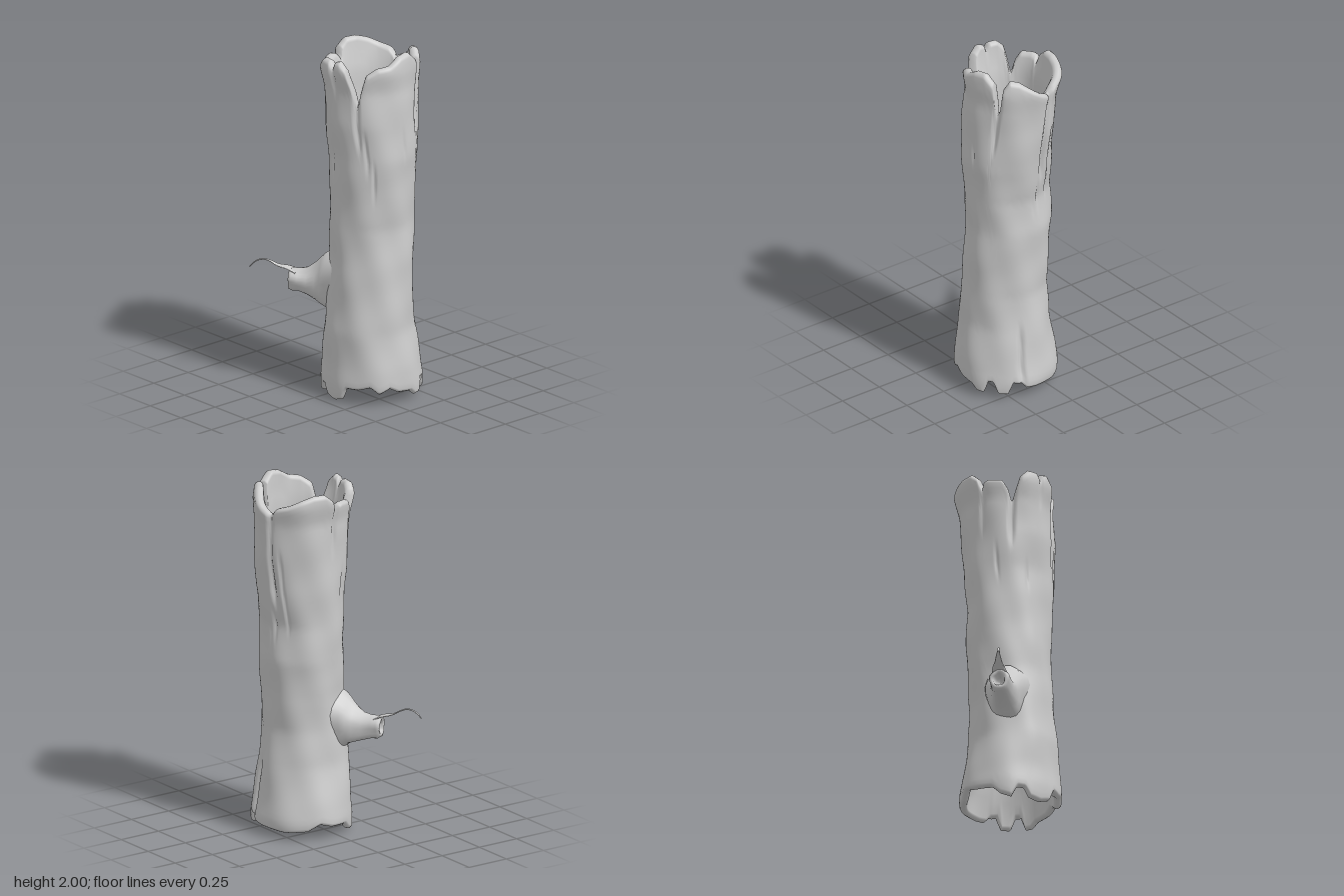
import * as THREE from 'three';

// Linear lookup in a list of [key, value...] rows
function lookup(rows, k, col = 1) {
  if (k <= rows[0][0]) return rows[0][col];
  for (let i = 1; i < rows.length; i++) {
    const a = rows[i - 1], b = rows[i];
    if (k <= b[0]) return a[col] + (b[col] - a[col]) * (k - a[0]) / (b[0] - a[0]);
  }
  return rows[rows.length - 1][col];
}

// Skin of nu columns (always wrapped) by nv rows (wrapped if closed)
function skin(nu, nv, point, closed) {
  const pos = [], index = [];
  for (let j = 0; j < nv; j++) for (let i = 0; i < nu; i++) pos.push(...point(i, j));
  for (let j = 0; j < (closed ? nv : nv - 1); j++) {
    for (let i = 0; i < nu; i++) {
      const i2 = (i + 1) % nu, j2 = (j + 1) % nv;
      const a = j * nu + i, b = j2 * nu + i, c = j2 * nu + i2, d = j * nu + i2;
      index.push(a, b, c, a, c, d);
    }
  }
  const g = new THREE.BufferGeometry();
  g.setAttribute('position', new THREE.Float32BufferAttribute(pos, 3));
  g.setIndex(index);
  g.computeVertexNormals();
  return g;
}

// Trunk extents by height: y, min x, max x, min z, max z
const extents = [
  [0, -0.2, 0.33, -0.165, 0.4], [0.1, -0.205, 0.335, -0.17, 0.405],
  [0.2, -0.2, 0.32, -0.155, 0.395], [0.4, -0.2, 0.295, -0.12, 0.365],
  [0.6, -0.18, 0.275, -0.11, 0.36], [0.8, -0.165, 0.285, -0.11, 0.355],
  [1, -0.16, 0.295, -0.125, 0.345], [1.2, -0.16, 0.28, -0.125, 0.36],
  [1.4, -0.165, 0.31, -0.13, 0.37], [1.6, -0.185, 0.33, -0.135, 0.36],
  [1.8, -0.19, 0.345, -0.14, 0.345], [1.9, -0.21, 0.36, -0.165, 0.355],
  [2, -0.205, 0.35, -0.165, 0.345],
];
// Wall thickness by height
const wall = [[0, 0.04], [0.1, 0.045], [0.4, 0.065], [0.9, 0.075], [1.3, 0.07], [1.7, 0.06], [2, 0.05]];
// Broken rims by angle in degrees, from +x towards +z
const topRim = [
  [0, 1.89], [15, 1.93], [30, 1.97], [42, 1.98], [50, 1.93], [55, 1.77], [58, 1.77], [62, 1.95],
  [75, 2], [90, 1.99], [105, 1.95], [120, 1.94], [135, 1.9], [145, 1.78], [149, 1.71], [153, 1.8],
  [160, 1.93], [170, 1.97], [178, 1.96], [182, 1.92], [188, 1.96], [200, 1.96], [210, 1.92],
  [217, 1.83], [221, 1.78], [226, 1.85], [233, 1.9], [250, 1.91], [257, 1.9], [260, 1.87],
  [264, 1.93], [275, 1.97], [290, 1.97], [305, 1.95], [320, 1.92], [335, 1.9], [345, 1.86], [360, 1.89],
];
const bottomRim = [
  [0, 0.05], [12, 0.06], [18, 0.09], [28, 0.1], [34, 0.03], [45, 0.03], [51, 0.1], [58, 0.1],
  [64, 0.03], [72, 0.03], [80, 0.06], [100, 0.07], [112, 0.1], [125, 0.07], [135, 0.11], [150, 0.09],
  [165, 0.09], [172, 0.02], [185, 0], [198, 0.01], [205, 0.06], [215, 0.06], [222, 0], [235, 0.02],
  [245, 0.06], [270, 0.07], [285, 0.09], [300, 0.05], [330, 0.04], [360, 0.05],
];
// Bark cracks: angle, start y, end y, depth, half width in degrees
const cracks = [
  [56, 1.5, 2.1, 0.022, 5], [149, 1.45, 2.1, 0.022, 5], [221, 1.5, 2.1, 0.02, 5], [260, 1.6, 2.1, 0.015, 4],
  [345, 1.3, 2.1, 0.022, 5], [182, 1.75, 2.1, 0.014, 5], [16, 0.05, 0.44, 0.022, 5],
  [330, 1.15, 1.66, 0.012, 3], [86, 1.38, 1.58, 0.01, 3], [132, 1.15, 1.42, 0.012, 3], [140, 1.3, 1.6, 0.012, 3],
  [350, 1.1, 1.32, 0.012, 3], [358, 1.08, 1.22, 0.01, 3], [240, 1.3, 1.55, 0.01, 3], [200, 1.25, 1.45, 0.01, 3],
];

function trunkPoint(deg, y, inset) {
  const a = deg * Math.PI / 180, c = Math.cos(a), s = Math.sin(a);
  const [x0, x1, z0, z1] = [1, 2, 3, 4].map(k => lookup(extents, y, k));
  let r = 0.004 * Math.sin(3 * a + 5 * y) + 0.003 * Math.sin(7 * a - 9 * y) + 0.002 * Math.sin(2 * a + 21 * y);
  for (const [at, y0, y1, depth, width] of cracks) {
    if (y < y0 || y > y1) continue;
    const off = Math.abs(((deg - at - 1.5 * Math.sin(9 * y) + 540) % 360) - 180) / width;
    const fade = Math.min(1, (y - y0) / 0.1, (y1 - y) / 0.1);
    if (off < 1) r -= depth * fade * (1 - off) * (inset > 0.03 ? 0.2 : 1);
  }
  r -= inset;
  return [(x0 + x1) / 2 + ((x1 - x0) / 2 + r) * c, y, (z0 + z1) / 2 + ((z1 - z0) / 2 + r) * s];
}

// Hollow trunk: outer bark up, over the rounded rim, down the inside, round the bottom
function trunkGeometry() {
  const NU = 180, OUT = 64, IN = 32, RIM = 5;
  const prof = []; // [fraction of height, rim bulge, inset fraction]
  for (let j = 0; j <= OUT; j++) prof.push([j / OUT, 0, 0]);
  for (let j = 1; j < RIM; j++) {
    const t = Math.PI * j / RIM;
    prof.push([1, Math.sin(t), (1 - Math.cos(t)) / 2]);
  }
  for (let j = IN; j >= 0; j--) prof.push([j / IN, 0, 1]);
  for (let j = RIM - 1; j > 0; j--) {
    const t = Math.PI * j / RIM;
    prof.push([0, -Math.sin(t), (1 - Math.cos(t)) / 2]);
  }
  return skin(NU, prof.length, (i, j) => {
    const deg = i * 360 / NU, [f, bulge, inset] = prof[j];
    const lo = lookup(bottomRim, deg) + 0.02, hi = lookup(topRim, deg) - 0.025;
    const y = lo + (hi - lo) * f + bulge * (f ? 0.025 : 0.02);
    return trunkPoint(deg, y, inset * lookup(wall, y));
  }, true);
}

// Ring across the branch direction: centre, half width, half height
const side = [0.83, -0.56];
function ring(x, y, z, hw, hh, t) {
  const w = hw * Math.cos(t);
  return [x + side[0] * w, y + hh * Math.sin(t), z + side[1] * w];
}

// Broken branch stub with a hollow end: distance, half width, half height, centre y
const stub = [
  [0, 0.12, 0.18, 0.64], [0.05, 0.105, 0.155, 0.635], [0.08, 0.09, 0.13, 0.625], [0.11, 0.078, 0.105, 0.615],
  [0.16, 0.064, 0.076, 0.608], [0.21, 0.056, 0.064, 0.612], [0.245, 0.056, 0.065, 0.615],
  [0.262, 0.048, 0.056, 0.615], [0.265, 0.038, 0.044, 0.615], [0.255, 0.03, 0.035, 0.615],
  [0.21, 0.024, 0.028, 0.613], [0.2, 0, 0, 0.613],
];
const stubGeometry = () => skin(24, stub.length, (i, j) => {
  const [d, hw, hh, y] = stub[j], t = i / 24 * Math.PI * 2;
  const k = 1 + 0.06 * Math.sin(3 * t + j) + 0.04 * Math.sin(5 * t);
  return ring(-0.06 - 0.56 * d, y, -0.03 - 0.83 * d, hw * k, hh * k, t);
}, false);

// Thin curled splinter: x, y, z, half width
function splinterGeometry() {
  const rows = [
    [-0.185, 0.66, -0.215, 0.045], [-0.212, 0.678, -0.255, 0.034], [-0.25, 0.69, -0.295, 0.02],
    [-0.28, 0.713, -0.327, 0.01], [-0.305, 0.723, -0.35, 0.005], [-0.33, 0.715, -0.375, 0.007],
    [-0.348, 0.695, -0.395, 0.007], [-0.358, 0.675, -0.408, 0.003],
  ];
  const curve = new THREE.CatmullRomCurve3(rows.map(p => new THREE.Vector3(p[0], p[1], p[2])));
  const widths = rows.map((p, i) => [i / (rows.length - 1), p[3]]);
  return skin(10, 25, (i, j) => {
    const p = curve.getPoint(j / 24);
    return ring(p.x, p.y, p.z, lookup(widths, j / 24), 0.004, i / 10 * Math.PI * 2);
  }, false);
}

export function createModel() {
  const group = new THREE.Group();
  group.name = 'hollowLog';
  const material = new THREE.MeshStandardMaterial({ color: 0xcccccc, side: THREE.DoubleSide });
  const parts = { trunk: trunkGeometry(), branchStub: stubGeometry(), splinter: splinterGeometry() };
  for (const [name, geometry] of Object.entries(parts)) {
    const mesh = new THREE.Mesh(geometry, material);
    mesh.name = name;
    group.add(mesh);
  }
  return group;
}
